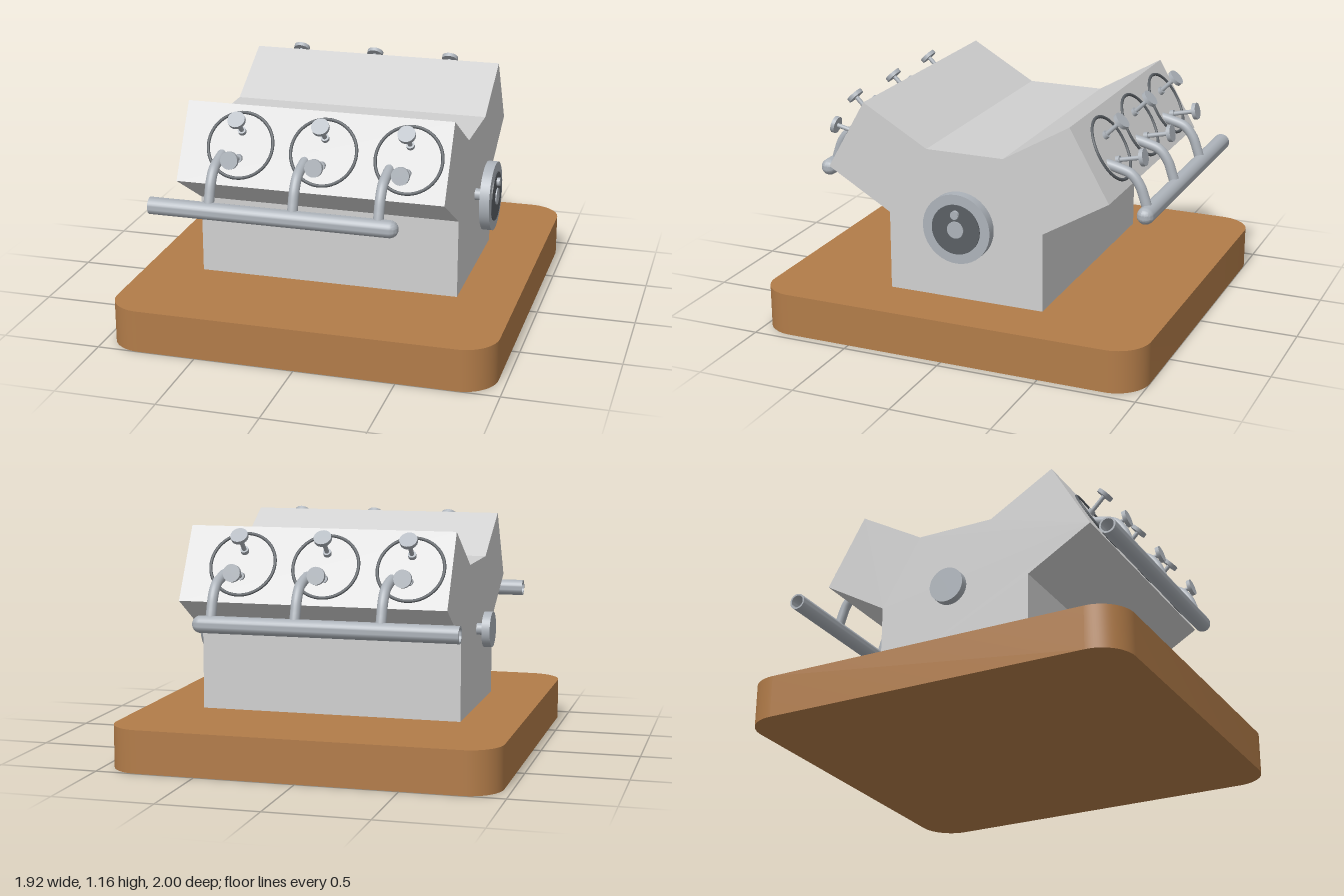
import * as THREE from 'three';
import { toCreasedNormals } from 'three/addons/utils/BufferGeometryUtils.js';

const material = (name, color) => {
  const m = new THREE.MeshStandardMaterial({ color });
  m.name = name;
  return m;
};

export function createModel() {
  const wood = material('wood', 0xb27c49);
  const cast = material('cast grey', 0xd0d0d0);
  const steel = material('steel', 0xadb3ba);
  const dark = material('dark steel', 0x5a5f64);

  const model = new THREE.Group();
  model.name = 'engineOnStand';

  const add = (parent, name, geometry, mat, x = 0, y = 0, z = 0) => {
    const mesh = new THREE.Mesh(geometry, mat);
    mesh.name = name;
    mesh.position.set(x, y, z);
    parent.add(mesh);
    return mesh;
  };
  // Cylinders lying along x or z, starting at the origin
  const alongX = (r, len) => new THREE.CylinderGeometry(r, r, len, 40).rotateZ(-Math.PI / 2).translate(len / 2, 0, 0);
  const alongZ = (r, len) => new THREE.CylinderGeometry(r, r, len, 24).rotateX(Math.PI / 2).translate(0, 0, len / 2);

  // Wooden stand with rounded corners
  const W = 0.96, D = 1.0, R = 0.17;
  const plan = new THREE.Shape();
  plan.absarc(W - R, D - R, R, 0, Math.PI / 2);
  plan.absarc(-W + R, D - R, R, Math.PI / 2, Math.PI);
  plan.absarc(-W + R, -D + R, R, Math.PI, Math.PI * 1.5);
  plan.absarc(W - R, -D + R, R, Math.PI * 1.5, Math.PI * 2);
  const stand = new THREE.ExtrudeGeometry(plan, { depth: 0.213, bevelEnabled: false, curveSegments: 12 });
  add(model, 'stand', toCreasedNormals(stand.rotateX(-Math.PI / 2), 0.6), wood);

  // V-shaped block, extruded along x
  const half = [[0.405, 0.213], [0.405, 0.61], [0.735, 0.805], [0.535, 1.155], [0.2, 0.96]];
  const outline = [...half, ...half.slice().reverse().map(([z, y]) => [-z, y])];
  const profile = new THREE.Shape(outline.map(([z, y]) => new THREE.Vector2(z, y)));
  const block = new THREE.ExtrudeGeometry(profile, { depth: 1.326, bevelEnabled: false });
  add(model, 'block', block.rotateY(Math.PI / 2), cast, -0.664);

  // One valve: stem, collar and disc, tilted up by an angle
  const valve = (parent, name, x, y, z, degrees, length) => {
    const g = new THREE.Group();
    g.name = name;
    g.position.set(x, y, z);
    g.rotation.x = -THREE.MathUtils.degToRad(degrees);
    add(g, 'valveStem', alongZ(0.011, length + 0.03), steel, 0, 0, -0.03);
    add(g, 'valveCollar', alongZ(0.02, 0.02), steel, 0, 0, -0.004);
    add(g, 'valveDisc', alongZ(0.043, 0.02), steel, 0, 0, length - 0.01);
    parent.add(g);
  };

  // Curved pipe from the bank face down to the manifold
  const runnerPath = new THREE.CatmullRomCurve3(
    [[0.935, 0.63], [0.92, 0.7], [0.896, 0.772], [0.845, 0.815], [0.78, 0.84], [0.716, 0.86]]
      .map(([y, z]) => new THREE.Vector3(0, y, z)));
  const runner = new THREE.TubeGeometry(runnerPath, 32, 0.025, 20);
  const ring = new THREE.TorusGeometry(0.162, 0.008, 10, 64);

  // Two opposed cylinder banks, the back one turned half round
  for (const side of [1, -1]) {
    const bank = new THREE.Group();
    bank.name = side > 0 ? 'frontBank' : 'backBank';
    bank.rotation.y = side > 0 ? 0 : Math.PI;
    model.add(bank);
    for (const x of [-0.367, 0.049, 0.466]) {
      add(bank, 'cylinderRing', ring, dark, x, 0.982, 0.637).rotation.x = -Math.PI / 6;
      valve(bank, 'upperValve', x, 1.04, 0.603, 45, 0.115);
      valve(bank, 'lowerValve', x, 0.926, 0.667, 13, 0.135);
      add(bank, 'exhaustRunner', runner, steel, x - 0.09);
    }

    // Manifold, open at -x and domed at +x
    const len = side > 0 ? 1.185 : 1.255, r = 0.042;
    const points = [[0, 0.3], [0.033, 0.3], [0.033, 0], [r, 0]];
    for (let i = 0; i <= 8; i++) {
      const a = (i / 8) * Math.PI / 2;
      points.push([i === 8 ? 0 : r * Math.cos(a), len + r * Math.sin(a)]);
    }
    const pipe = new THREE.LatheGeometry(points.map(([a, b]) => new THREE.Vector2(a, b)), 32).rotateZ(-Math.PI / 2);
    add(model, 'exhaustManifold', toCreasedNormals(pipe, 0.7), steel, -0.752, 0.716, side * 0.862);
  }

  // Crankshaft ends, flywheel on +x and pulley on -x
  const crankY = 0.612;
  add(model, 'flywheelShaft', alongX(0.03, 0.08), steel, 0.65, crankY);
  add(model, 'flywheel', alongX(0.175, 0.05), steel, 0.715, crankY);
  add(model, 'flywheelPlate', alongX(0.125, 0.006), dark, 0.765, crankY);
  add(model, 'flywheelHub', alongX(0.042, 0.012), steel, 0.765, crankY);
  add(model, 'flywheelPin', alongX(0.021, 0.022), steel, 0.765, crankY + 0.077);
  add(model, 'pulleyShaft', alongX(0.03, 0.06), steel, -0.71, crankY);
  add(model, 'pulley', alongX(0.09, 0.042), steel, -0.744, crankY);

  return model;
}
